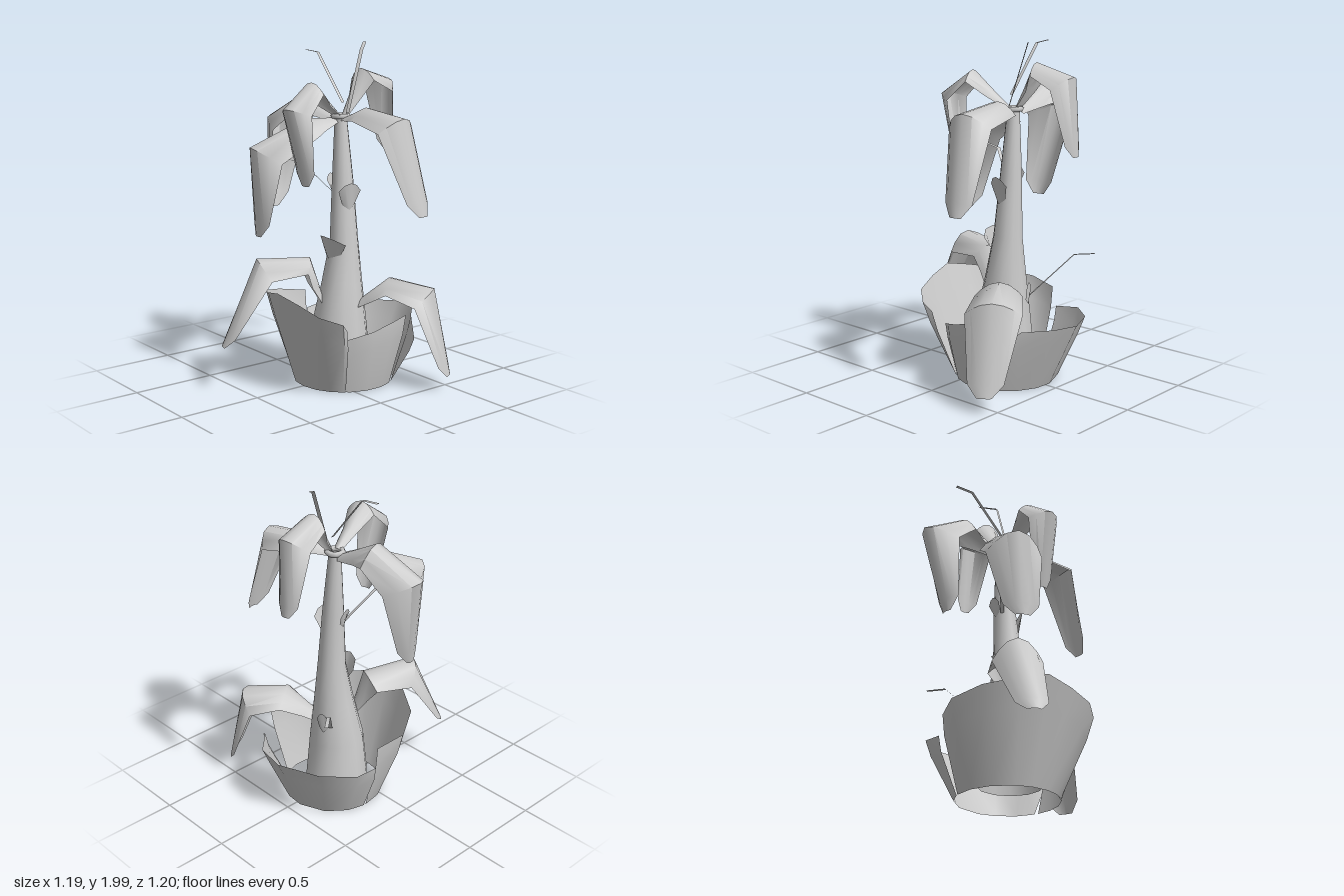
import * as THREE from 'three';
import { toCreasedNormals } from 'three/addons/utils/BufferGeometryUtils.js';

const material = new THREE.MeshStandardMaterial({ color: 0xcccccc, side: THREE.DoubleSide });
const V = (a) => new THREE.Vector3(...a);

// Skin a list of equally long rows of points
function loft(name, rows, crease = 0.95) {
  const n = rows[0].length, index = [];
  for (let i = 0; i < rows.length - 1; i++) {
    for (let j = 0; j < n - 1; j++) {
      const a = i * n + j, b = a + n;
      index.push(a, b, a + 1, a + 1, b, b + 1);
    }
  }
  const g = new THREE.BufferGeometry().setFromPoints(rows.flat());
  g.setIndex(index);
  const mesh = new THREE.Mesh(toCreasedNormals(g, crease), material);
  mesh.name = name;
  return mesh;
}

// Drooping leaf: spine of root, crest, bend and tip; arched cross-section
function leaf(name, spine, halfWidth, depth) {
  const [root, crest, bend, tip] = spine.map(V);
  const near = bend.clone().lerp(tip, 0.86);
  const pts = [root, root.clone().lerp(crest, 0.45), crest, bend, near, tip];
  const widths = [0.25, 0.48, 0.85, 1, 0.63, 0.26];
  const depths = [0.15, 0.4, 0.65, 1, 0.3, 0.08];
  const heading = bend.clone().sub(root).setY(0).normalize();
  const side = new THREE.Vector3(-heading.z, 0, heading.x);
  const rows = pts.map((p, i) => {
    const tangent = pts[Math.min(i + 1, 5)].clone().sub(pts[Math.max(i - 1, 0)]);
    if (i === 3) tangent.copy(bend).sub(crest).normalize().add(tip.clone().sub(bend).normalize());
    const inward = new THREE.Vector3().crossVectors(tangent, side).normalize();
    if (i < 3 && inward.y > 0) inward.negate();
    if (i >= 3 && inward.dot(heading) > 0) inward.negate();
    return [-1, -0.75, -0.4, 0, 0.4, 0.75, 1].map((s) => p.clone()
      .addScaledVector(side, s * widths[i] * halfWidth)
      .addScaledVector(inward, s * s * depths[i] * depth));
  });
  return loft(name, rows);
}

// Pot sheet: a rim tapering down to a round foot
function potPanel(name, rim) {
  const foot = [], middle = [];
  for (const r of rim.map(V)) {
    const angle = Math.atan2(r.z + 0.13, r.x);
    const f = new THREE.Vector3(0.3 * Math.cos(angle), 0.01, -0.13 + 0.3 * Math.sin(angle));
    const m = f.clone().lerp(r, 0.72);
    m.x *= 1.04;
    foot.push(f);
    middle.push(m);
  }
  return loft(name, [rim.map(V), middle, foot]);
}

// Thin flat ribbon along a bent path
function tendril(name, path) {
  const pts = path.map(V);
  const dir = pts[2].clone().sub(pts[0]).setY(0).normalize();
  const side = new THREE.Vector3(-dir.z, 0, dir.x);
  return loft(name, pts.map((p) => [-0.011, 0.011].map((s) => p.clone().addScaledVector(side, s))));
}

// Trunk stations: height, radius, centre x, centre z
const TRUNK = [
  [0.09, 0.19, 0, -0.1], [0.35, 0.165, 0, -0.1], [0.6, 0.122, 0.0, -0.12],
  [0.85, 0.085, 0.0, -0.135], [1.2, 0.064, -0.02, -0.14], [1.59, 0.035, -0.04, -0.14],
];
function trunkAt(y) {
  const i = Math.max(0, TRUNK.findIndex((s) => s[0] > y) - 1);
  const t = (y - TRUNK[i][0]) / (TRUNK[i + 1][0] - TRUNK[i][0]);
  return TRUNK[i].map((v, k) => THREE.MathUtils.lerp(v, TRUNK[i + 1][k], t));
}
function trunkPoint(y, angle, gap = 0) {
  const [, r, x, z] = trunkAt(y);
  return new THREE.Vector3(x + Math.cos(angle) * (r + gap), y, z + Math.sin(angle) * (r + gap));
}

// Bract: a short flared scale hugging the trunk
function bract(name, angle, spread, y, height, flare) {
  const offsets = [-1, -0.5, 0, 0.5, 1];
  const top = offsets.map((o) => trunkPoint(y + height * (1 - 0.3 * o * o), angle + o * spread, flare));
  const bottom = offsets.map((o) => trunkPoint(y + 0.03 * Math.abs(o), angle + o * spread * 0.8, 0.004));
  return loft(name, [top, bottom]);
}

export function createModel() {
  const model = new THREE.Group();

  // Open trunk and the ring at its crown
  const trunkRows = TRUNK.map(([y]) =>
    Array.from({ length: 13 }, (_, j) => trunkPoint(Math.min(y, 1.589), (j / 12) * Math.PI * 2)));
  model.add(loft('trunk', trunkRows));
  const ring = new THREE.Mesh(new THREE.TorusGeometry(0.045, 0.016, 6, 10), material);
  ring.name = 'crownRing';
  ring.rotation.x = Math.PI / 2;
  ring.position.set(-0.04, 1.58, -0.14);
  model.add(ring);

  // Pot of three overlapping sheets, open below
  model.add(
    potPanel('frontPotPanel', [[-0.4, 0.46, -0.15], [-0.43, 0.49, 0.03], [-0.33, 0.53, 0.2], [-0.15, 0.57, 0.31],
      [0, 0.6, 0.35], [0.16, 0.56, 0.32], [0.3, 0.51, 0.28], [0.385, 0.47, 0.18], [0.36, 0.42, 0.13]]),
    potPanel('leftPotPanel', [[0.22, 0.31, 0.16], [0.31, 0.35, 0.05], [0.36, 0.38, -0.06], [0.38, 0.42, -0.19],
      [0.36, 0.44, -0.31]]),
    potPanel('backPotPanel', [[0.38, 0.29, -0.36], [0.25, 0.39, -0.45], [0.12, 0.4, -0.58], [-0.05, 0.39, -0.605],
      [-0.28, 0.37, -0.49], [-0.42, 0.36, -0.33], [-0.41, 0.34, -0.17]]),
  );

  // Crown leaves and lower leaves: spine, half width, depth of arch
  const leaves = [
    ['rightCrownLeaf', [[-0.07, 1.57, -0.14], [-0.33, 1.71, -0.11], [-0.6, 1.55, -0.04], [-0.485, 1.0, 0.03]], 0.14, 0.17],
    ['leftCrownLeaf', [[-0.01, 1.57, -0.14], [0.14, 1.64, -0.18], [0.45, 1.6, -0.2], [0.57, 1.06, -0.25]], 0.14, 0.11],
    ['backCrownLeaf', [[-0.04, 1.59, -0.16], [-0.05, 1.85, -0.3], [-0.08, 1.78, -0.54], [-0.09, 1.34, -0.56]], 0.11, 0.11],
    ['frontCrownLeaf', [[-0.03, 1.59, -0.12], [0.02, 1.79, 0.12], [0.055, 1.65, 0.32], [0.06, 1.21, 0.2]], 0.105, 0.1],
    ['frontRightCrownLeaf', [[-0.06, 1.57, -0.12], [-0.13, 1.57, 0.06], [-0.205, 1.42, 0.39], [-0.17, 0.91, 0.375]], 0.165, 0.16],
    ['frontLowerLeaf', [[-0.02, 0.48, -0.01], [-0.09, 0.755, 0.05], [-0.195, 0.77, 0.36], [-0.22, 0.28, 0.59]], 0.14, 0.13],
    ['backLowerLeaf', [[0.05, 0.45, -0.13], [0.24, 0.645, -0.28], [0.47, 0.6, -0.43], [0.575, 0.1, -0.465]], 0.16, 0.12],
  ];
  for (const l of leaves) model.add(leaf(...l));

  // Bracts on the trunk
  model.add(
    bract('frontBract', 1.7, 1.1, 0.75, 0.135, 0.055),
    bract('leftBract', 0.2, 0.7, 1.04, 0.16, 0.045),
    bract('rightBract', 2.9, 0.5, 1.12, 0.12, 0.03),
    bract('backBract', -1.9, 0.25, 0.45, 0.13, 0.02),
  );

  // Tendrils
  model.add(
    tendril('crownTendrilRight', [[-0.02, 1.66, -0.14], [-0.25, 1.94, -0.135], [-0.36, 1.95, -0.13]]),
    tendril('crownTendrilBack', [[0.01, 1.6, -0.15], [-0.01, 1.96, -0.27], [-0.09, 2.0, -0.36]]),
    tendril('lowerTendril', [[-0.08, 0.48, -0.22], [-0.27, 0.73, -0.41], [-0.35, 0.735, -0.5]]),
    tendril('middleTendril', [[-0.06, 1.14, -0.09], [-0.15, 1.32, 0.07], [-0.16, 1.34, 0.18]]),
  );
  return model;
}
